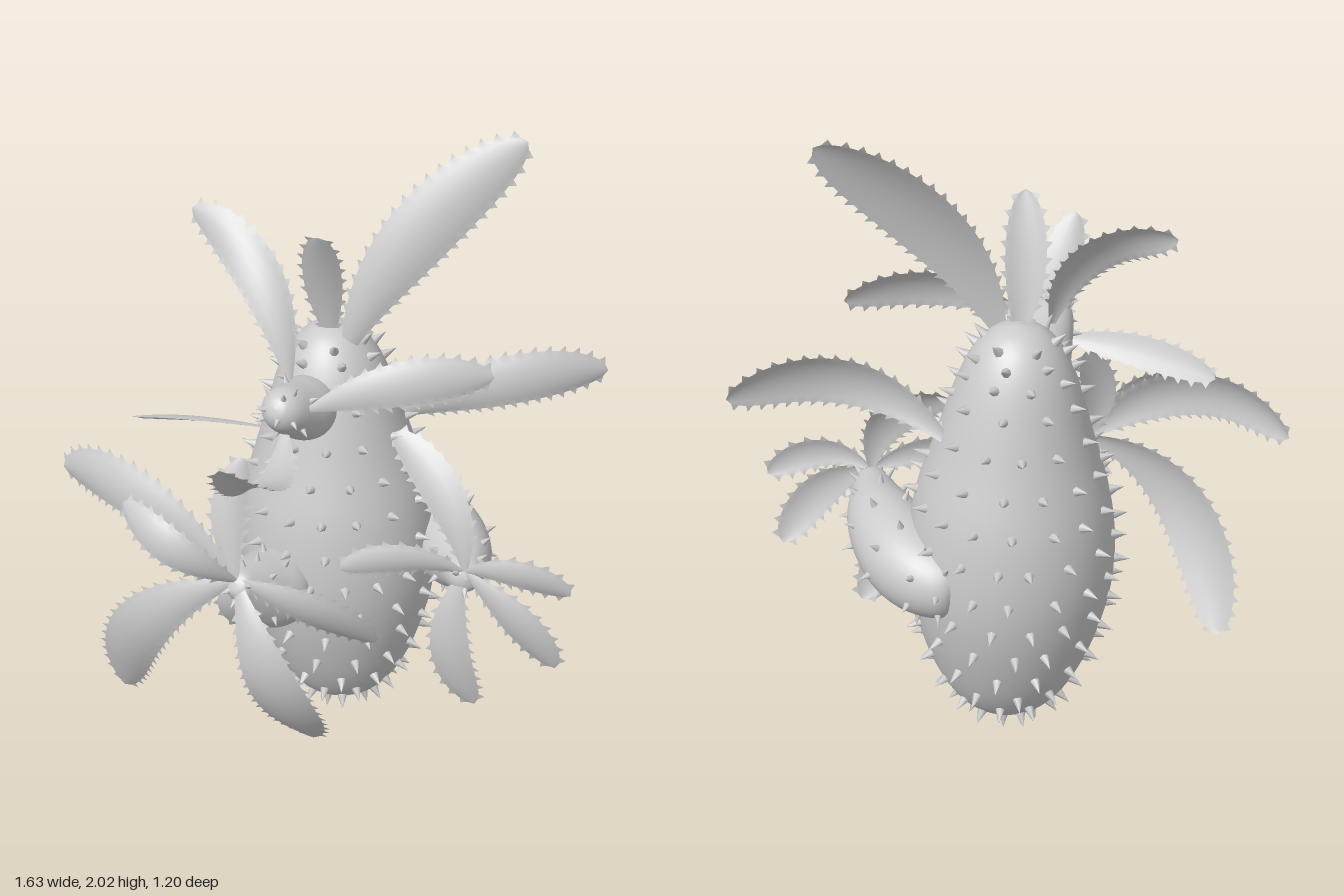
import * as THREE from 'three';
import { mergeGeometries, mergeVertices } from 'three/addons/utils/BufferGeometryUtils.js';

const V = (a) => new THREE.Vector3(...a);

// Smooth surface from a grid of points: fn(row 0..1, column 0..1)
function grid(rows, cols, fn) {
  const pos = [], index = [];
  for (let i = 0; i <= rows; i++) {
    for (let j = 0; j <= cols; j++) pos.push(...fn(i / rows, j / cols, i, j).toArray());
  }
  for (let i = 0; i < rows; i++) {
    for (let j = 0; j < cols; j++) {
      const a = i * (cols + 1) + j, b = a + cols + 1;
      index.push(a, a + 1, b, a + 1, b + 1, b);
    }
  }
  const flat = new THREE.BufferGeometry();
  flat.setAttribute('position', new THREE.Float32BufferAttribute(pos, 3));
  flat.setIndex(index);
  const geo = mergeVertices(flat, 1e-5);
  geo.computeVertexNormals();
  return geo;
}

// Round stem: radii [position along path, radius] swept along a path
function stemSurface(path, radii) {
  const curve = new THREE.CatmullRomCurve3(path.map(V));
  const profile = new THREE.SplineCurve(radii.map((r) => new THREE.Vector2(...r)));
  const N = 100;
  const frames = curve.computeFrenetFrames(N, false);
  return (u, v) => {
    const p = profile.getPoint(u);
    const t = THREE.MathUtils.clamp(p.x, 0, 1), k = Math.round(t * N);
    const r = u === 0 || u === 1 ? 0 : Math.max(0, p.y), a = (v % 1) * Math.PI * 2;
    return curve.getPointAt(t)
      .addScaledVector(frames.normals[k], Math.cos(a) * r)
      .addScaledVector(frames.binormals[k], Math.sin(a) * r);
  };
}

// Cone thorns in staggered rings, standing out from a stem surface
function thorns(surface, rings, spacing, length) {
  const cones = [], up = new THREE.Vector3(0, 1, 0), e = 0.012;
  rings.forEach((u, row) => {
    const across = surface(u, 0).distanceTo(surface(u, 0.5));
    const n = Math.max(3, Math.round((across * Math.PI) / spacing));
    for (let i = 0; i < n; i++) {
      const v = (i + (row % 2) * 0.5 + 0.12 * Math.sin(i * 5.3 + row * 2.1) + 1) / n;
      const p = surface(u, v);
      const dv = surface(u, v + e).sub(surface(u, v - e + 1));
      const du = surface(u + e, v).sub(surface(u - e, v));
      const n3 = dv.cross(du).normalize();
      const cone = new THREE.ConeGeometry(length * 0.32, length, 7);
      cone.translate(0, length * 0.4, 0);
      cone.applyQuaternion(new THREE.Quaternion().setFromUnitVectors(up, n3));
      cones.push(cone.translate(p.x, p.y, p.z));
    }
  });
  return mergeGeometries(cones);
}

// Toothed, cupped leaf running through start, mid and tip points
function leafGeometry(start, mid, tip, halfWidth, facing) {
  const s = V(start), e = V(tip);
  const control = V(mid).multiplyScalar(2).sub(s.clone().add(e).multiplyScalar(0.5));
  const curve = new THREE.QuadraticBezierCurve3(s, control, e);
  const rows = 4 * Math.round(curve.getLength() / 0.044);
  const stations = [-1, -1, -0.75, -0.4, 0, 0.4, 0.75, 1, 1];
  return grid(rows, 8, (t, _, i, j) => {
    const T = curve.getTangentAt(t);
    const side = new THREE.Vector3().crossVectors(V(facing), T).normalize();
    const normal = new THREE.Vector3().crossVectors(T, side);
    const grow = 0.12 + 0.88 * Math.sin((Math.PI / 2) * Math.min(1, t / 0.58));
    const close = Math.max(0, 1 - Math.max(0, (t - 0.55) / 0.45) ** 2.4) ** 0.55;
    const w = halfWidth * grow * close, x = stations[j];
    const edge = j === 0 || j === 8;
    const tooth = edge && i % 4 === 2 && t > 0.12 ? 0.017 : 0;
    return curve.getPointAt(t)
      .addScaledVector(side, x * (w + tooth))
      .addScaledVector(T, tooth * 0.5)
      .addScaledVector(normal, -0.25 * w * x * x);
  });
}

export function createModel() {
  const model = new THREE.Group();
  const skin = new THREE.MeshStandardMaterial({ color: 0xcccccc, side: THREE.DoubleSide });
  const add = (name, geo, parent = model) => {
    const mesh = new THREE.Mesh(geo, skin);
    mesh.name = name;
    parent.add(mesh);
  };
  const range = (a, b, n) => Array.from({ length: n }, (_, i) => a + ((b - a) * i) / (n - 1));

  // Trunk and its three budding arms
  const stems = [
    {
      name: 'trunk', path: [[0.02, 0.04, -0.24], [0, 0.6, -0.245], [-0.03, 1.39, -0.25]],
      radii: [[0, 0], [0.005, 0.1], [0.04, 0.165], [0.13, 0.235], [0.27, 0.295], [0.41, 0.318], [0.56, 0.298],
        [0.71, 0.24], [0.86, 0.18], [0.94, 0.13], [0.985, 0.07], [1, 0]],
      rings: [0.1, ...range(0.16, 0.86, 15)], spacing: 0.115, length: 0.052,
    },
    {
      name: 'leftArm', path: [[0.1, 0.59, -0.48], [0.27, 0.61, -0.39], [0.41, 0.65, -0.21], [0.49, 0.69, -0.03]],
      radii: [[0, 0], [0.02, 0.08], [0.15, 0.12], [0.38, 0.135], [0.65, 0.115], [0.85, 0.075], [0.97, 0.045], [1, 0]],
      rings: range(0.2, 0.88, 7), spacing: 0.095, length: 0.038,
    },
    {
      name: 'frontArm', path: [[-0.09, 0.54, -0.02], [-0.13, 0.62, 0.12], [-0.16, 0.72, 0.26]],
      radii: [[0, 0], [0.02, 0.1], [0.3, 0.13], [0.6, 0.1], [0.85, 0.06], [0.97, 0.035], [1, 0]],
      rings: range(0.45, 0.82, 4), spacing: 0.09, length: 0.034,
    },
    {
      name: 'upperArm', path: [[-0.04, 1.14, -0.16], [-0.06, 1.21, -0.01], [-0.08, 1.28, 0.12]],
      radii: [[0, 0], [0.02, 0.08], [0.3, 0.1], [0.6, 0.085], [0.85, 0.065], [0.97, 0.035], [1, 0]],
      rings: range(0.55, 0.82, 3), spacing: 0.1, length: 0.032,
    },
  ];
  for (const s of stems) {
    const surface = stemSurface(s.path, s.radii);
    add(s.name, grid(48, 40, surface));
    add(s.name + 'Thorns', thorns(surface, s.rings, s.spacing, s.length));
  }

  // Leaves: start, mid, tip, half width, facing direction
  const F = [0, 0, 1];
  const front = [-0.16, 0.72, 0.25], left = [0.48, 0.71, -0.04];
  const tufts = {
    crownLeaf: [
      [[0.03, 1.3, -0.2], [0.2, 1.67, -0.26], [0.51, 1.99, -0.44], 0.1, [0.2, 0.2, 1]],
      [[-0.09, 1.28, -0.04], [-0.22, 1.57, -0.13], [-0.48, 1.7, -0.25], 0.072, [0.5, 0.1, 0.9]],
      [[-0.02, 1.32, -0.23], [-0.035, 1.54, -0.18], [-0.02, 1.75, -0.1], 0.06, [0.1, 0, 1]],
      [[0, 1.25, 0.05], [0.27, 1.36, 0], [0.52, 1.36, -0.14], 0.068, [0.2, 0.3, 1]],
      [[0.16, 1.03, -0.36], [0.47, 1.21, -0.34], [0.78, 1.22, -0.53], 0.08, [0.3, 0.15, 1]],
      [[-0.08, 1.18, 0.07], [-0.35, 1.165, 0.06], [-0.58, 1.1, 0.03], 0.055, [0, 1, -0.6]],
      [[-0.07, 1.18, 0.06], [-0.03, 1.155, 0.33], [-0.07, 1.35, 0.59], 0.072, [-0.3, 1, 0]],
    ],
    frontLeaf: [
      [front, [-0.5, 0.94, 0.23], [-0.81, 0.89, 0.07], 0.085, [-0.2, 0.2, 1]],
      [front, [-0.33, 0.86, 0.35], [-0.53, 0.93, 0.25], 0.06, [0, 0.25, 1]],
      [front, [-0.47, 0.5, 0.28], [-0.62, 0.1, 0.11], 0.095, [-0.15, 0, 1]],
      [front, [-0.02, 0.42, 0.35], [0.05, 0.08, 0.14], 0.092, F],
      [front, [0.06, 0.655, 0.24], [0.24, 0.48, 0.1], 0.065, F],
      [front, [-0.2, 0.92, 0.21], [-0.17, 1.1, 0.14], 0.055, [0.2, 0, 1]],
      [front, [-0.18, 0.6, 0.24], [-0.12, 0.5, 0.17], 0.055, F],
    ],
    leftLeaf: [
      [left, [0.64, 0.75, -0.02], [0.81, 0.68, -0.07], 0.05, F],
      [left, [0.65, 0.6, 0], [0.78, 0.41, -0.05], 0.06, F],
      [left, [0.45, 0.45, 0.01], [0.53, 0.21, -0.04], 0.065, F],
      [left, [0.3, 0.76, 0.03], [0.11, 0.71, 0.07], 0.05, F],
      [left, [0.4, 0.93, -0.08], [0.2, 1.08, -0.18], 0.065, [0, 0.4, 1]],
    ],
  };
  for (const [name, list] of Object.entries(tufts)) {
    const tuft = new THREE.Group();
    tuft.name = name + 'Tuft';
    list.forEach((leaf, i) => add(name + (i + 1), leafGeometry(...leaf), tuft));
    model.add(tuft);
  }
  return model;
}
